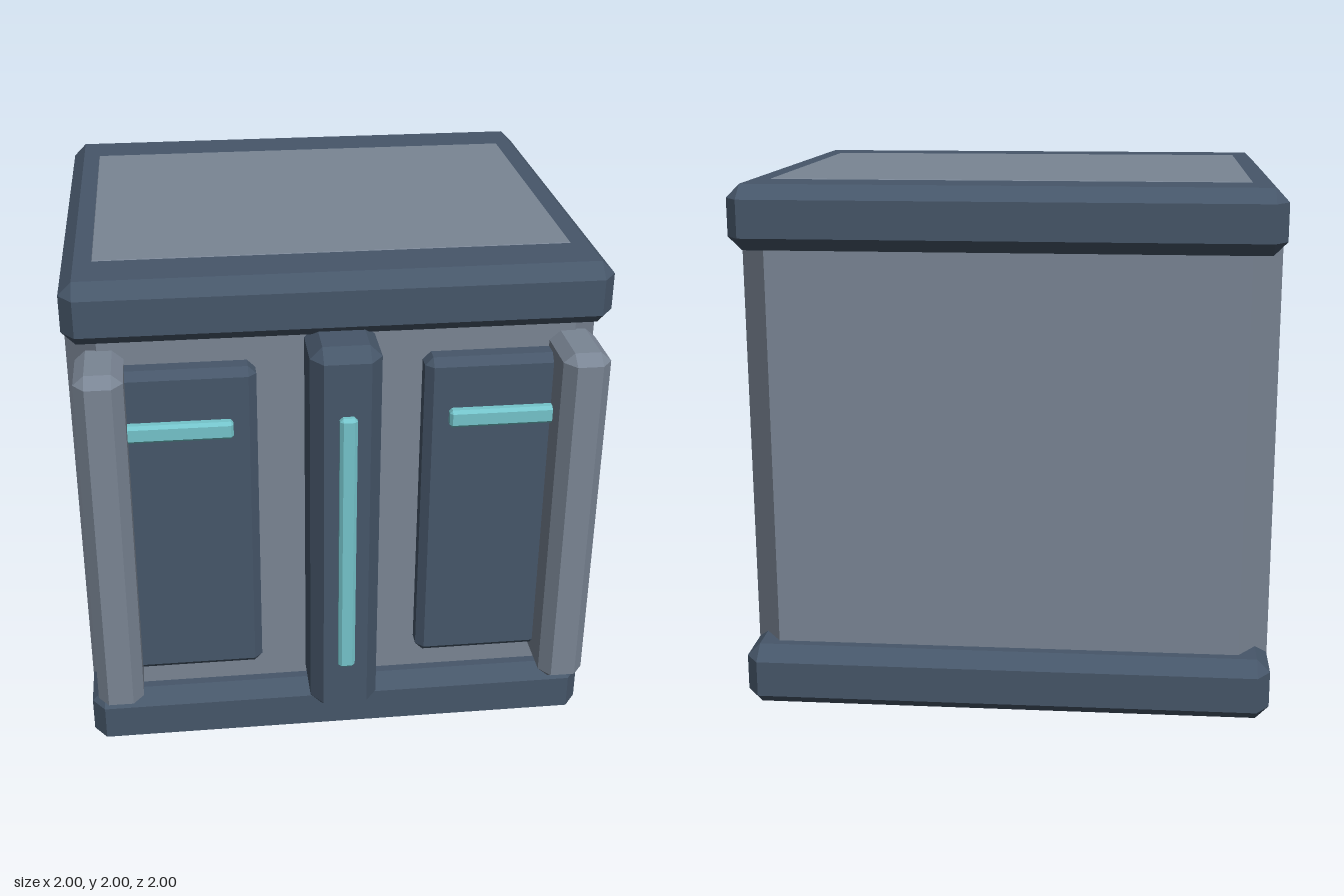
import * as THREE from 'three';
import { ConvexGeometry } from 'three/addons/geometries/ConvexGeometry.js';

const material = (name, color) => {
  const m = new THREE.MeshStandardMaterial({ color });
  m.name = name;
  return m;
};

// Box between two corners with bevelled edges; bevel = [x, y, z] insets
function bevelBox(min, max, bevel) {
  const centre = min.map((v, i) => (v + max[i]) / 2);
  const half = min.map((v, i) => (max[i] - v) / 2);
  const points = [];
  for (let axis = 0; axis < 3; axis++) {
    for (const sx of [-1, 1]) for (const sy of [-1, 1]) for (const sz of [-1, 1]) {
      const p = [sx, sy, sz].map((s, i) => centre[i] + s * (half[i] - (i === axis ? 0 : bevel[i])));
      points.push(new THREE.Vector3(...p));
    }
  }
  return new ConvexGeometry(points);
}

export function createModel() {
  const group = new THREE.Group();
  group.name = 'crate';
  const steel = material('steel grey', 0x7a8594);
  const slate = material('dark slate', 0x465669);
  const teal = material('teal light', 0x74c4cb);

  const add = (name, mat, min, max, bevel) => {
    const mesh = new THREE.Mesh(bevelBox(min, max, bevel), mat);
    mesh.name = name;
    group.add(mesh);
  };

  // Main body, just proud of the slabs where their faces meet
  add('body', steel, [-1, 0, -0.9], [1, 2, 0.7], [0.12, 0.12, 0.16]);

  // Base and lid slabs
  add('baseSlab', slate, [-0.998, 0.002, -1], [0.998, 0.24, 0.8], [0.05, 0.05, 0.065]);
  add('lidSlab', slate, [-0.998, 1.76, -1], [0.998, 1.998, 0.8], [0.05, 0.05, 0.065]);

  // Centre post with its light strip
  add('centrePost', slate, [-0.13, 0.225, 0.63], [0.13, 1.78, 0.955], [0.045, 0.045, 0.06]);
  add('centreLight', teal, [-0.032, 0.465, 0.96], [0.032, 1.54, 1], [0.012, 0.012, 0.012]);

  // Mirrored door panels, lights and corner posts
  for (const [side, s] of [['left', 1], ['right', -1]]) {
    const pair = (name, mat, x0, x1, y0, y1, z0, z1, bevel) =>
      add(side + name, mat, [Math.min(s * x0, s * x1), y0, z0], [Math.max(s * x0, s * x1), y1, z1], bevel);
    pair('Panel', slate, 0.31, 0.87, 0.355, 1.655, 0.64, 0.785, [0.03, 0.03, 0.03]);
    pair('PanelLight', teal, 0.4, 0.8, 1.39, 1.46, 0.77, 0.82, [0.01, 0.012, 0.012]);
    pair('Post', steel, 0.785, 0.96, 0.295, 1.715, 0.64, 0.955, [0.04, 0.035, 0.05]);
  }
  return group;
}
